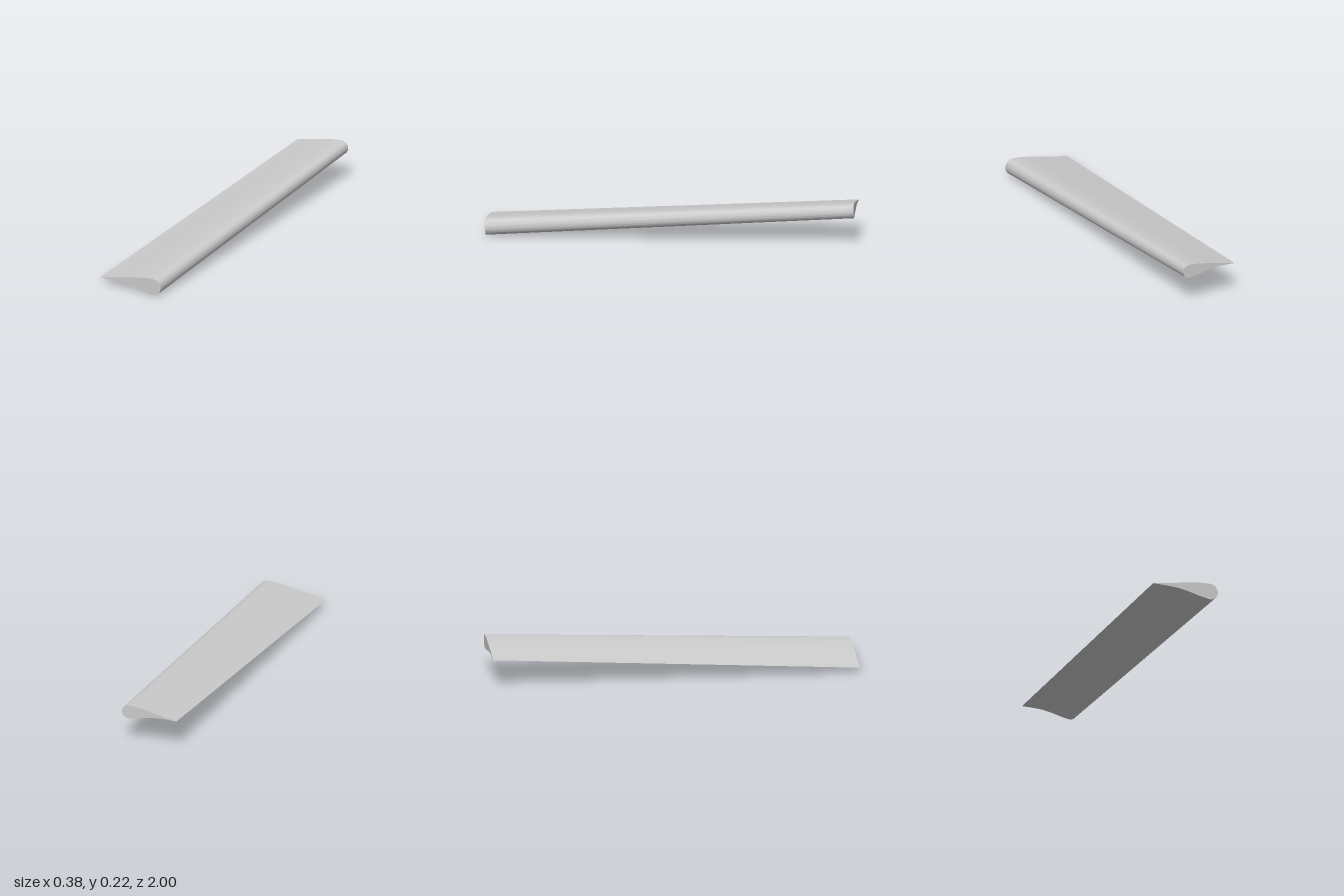
import * as THREE from 'three';
import { toCreasedNormals } from 'three/addons/utils/BufferGeometryUtils.js';

// Cambered aerofoil section at the wide end: sharp trailing edge at -x, round nose at +x
function aerofoilShape() {
  const s = new THREE.Shape();
  s.moveTo(-0.191, 0.036);
  s.bezierCurveTo(-0.12, 0.036, -0.07, 0.041, 0, 0.028); // concave underside
  s.bezierCurveTo(0.05, 0.0187, 0.115, 0, 0.14, 0);
  s.bezierCurveTo(0.17, 0, 0.189, 0.02, 0.189, 0.046); // nose
  s.bezierCurveTo(0.189, 0.075, 0.17, 0.092, 0.14, 0.092);
  s.bezierCurveTo(0.1, 0.092, 0.05, 0.084, 0, 0.074); // upper skin
  s.bezierCurveTo(-0.06, 0.062, -0.12, 0.049, -0.191, 0.036);
  return s;
}

export function createModel() {
  const group = new THREE.Group();
  group.name = 'wing';

  const geometry = new THREE.ExtrudeGeometry(aerofoilShape(), {
    depth: 2, steps: 8, curveSegments: 16, bevelEnabled: false,
  });
  geometry.translate(0, 0, -1);

  // Taper towards the narrow end about the nose, and raise it
  const p = geometry.attributes.position;
  for (let i = 0; i < p.count; i++) {
    const t = (1 - p.getZ(i)) / 2;
    const scale = 1 - 0.168 * t;
    p.setX(i, 0.189 + 0.001 * t + (p.getX(i) - 0.189) * scale);
    p.setY(i, 0.092 + 0.13 * t + (p.getY(i) - 0.092) * scale);
  }

  const panel = new THREE.Mesh(
    toCreasedNormals(geometry, 0.5),
    new THREE.MeshStandardMaterial({ color: 0xcccccc }),
  );
  panel.name = 'wingPanel';
  group.add(panel);
  return group;
}
